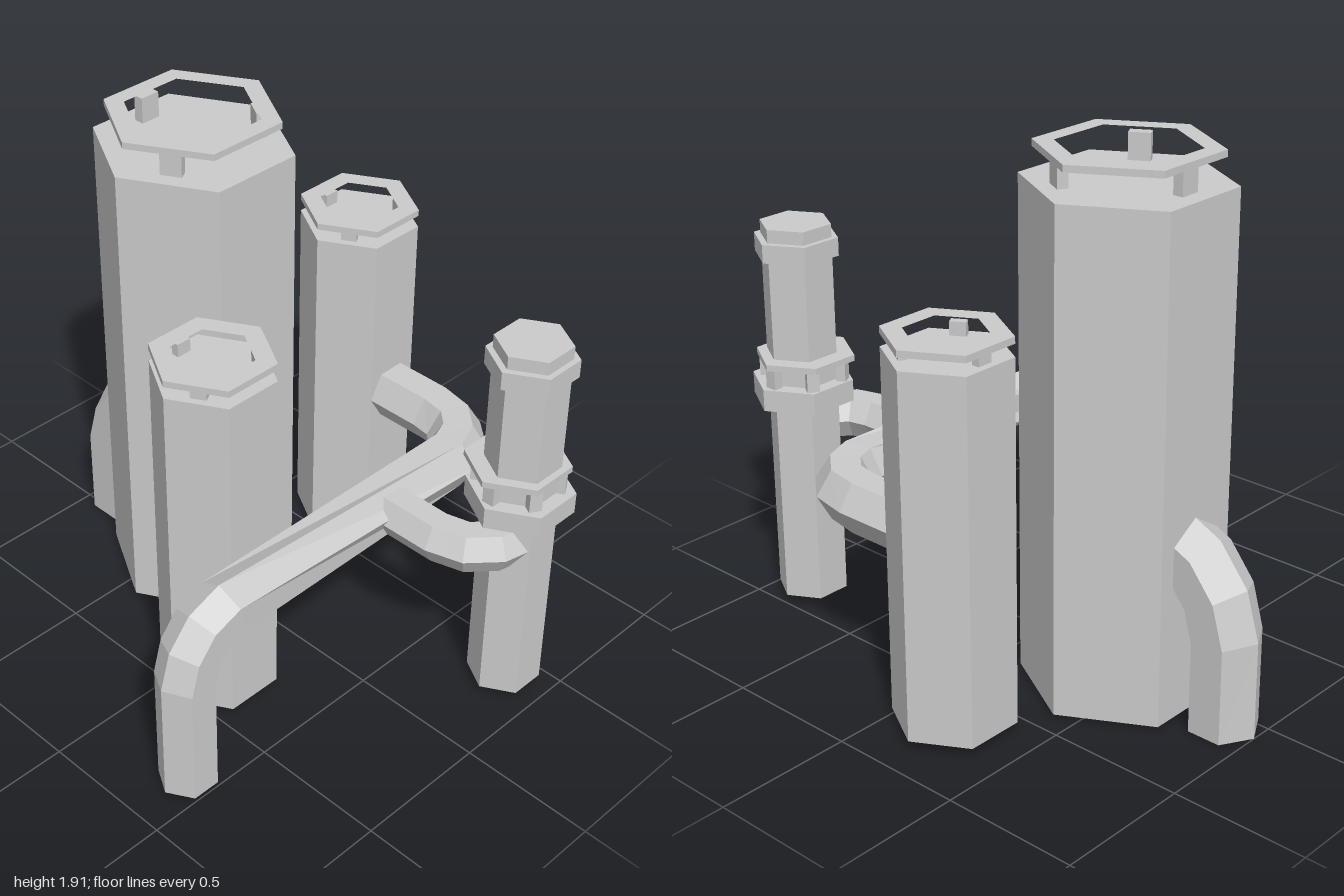
import * as THREE from 'three';

const grey = new THREE.MeshStandardMaterial({ color: 0xcccccc, flatShading: true });
const SIDES = 6;

function add(parent, name, geometry, x = 0, y = 0, z = 0) {
  const mesh = new THREE.Mesh(geometry, grey);
  mesh.name = name;
  mesh.position.set(x, y, z);
  parent.add(mesh);
  return mesh;
}

// Upright hexagonal prism from y0 to y1: hx is half the width in x, r the corner reach in z
function prism(parent, name, hx, r, x, z, y0, y1) {
  const geometry = new THREE.CylinderGeometry(1, 1, y1 - y0, SIDES);
  geometry.scale(hx / Math.cos(Math.PI / 6), 1, r);
  return add(parent, name, geometry, x, (y0 + y1) / 2, z);
}

function hexPoints(hx, r) {
  return Array.from({ length: SIDES }, (_, i) => {
    const a = (i / SIDES) * Math.PI * 2;
    return new THREE.Vector2((Math.sin(a) * hx) / Math.cos(Math.PI / 6), Math.cos(a) * r);
  });
}

// Flat hexagonal ring with a hexagonal hole
function ring(parent, name, outer, inner, x, z, y0, y1) {
  const shape = new THREE.Shape(hexPoints(...outer));
  shape.holes.push(new THREE.Path(hexPoints(...inner)));
  const geometry = new THREE.ExtrudeGeometry(shape, { depth: y1 - y0, bevelEnabled: false });
  geometry.rotateX(-Math.PI / 2);
  return add(parent, name, geometry, x, y0, z);
}

// Tank with a raised ring carried on three posts
function tank(parent, name, o) {
  const g = new THREE.Group();
  g.name = name;
  parent.add(g);
  prism(g, 'tankBody', o.hx, o.r, o.x, o.z, o.y0, o.y1);
  ring(g, 'topRing', o.outer, o.inner, o.x, o.z, o.ringY, o.ringY + 0.024);
  const h = o.ringY - o.y1 + 0.004;
  for (let i = 0; i < 3; i++) {
    const a = Math.PI / 6 + (i * Math.PI * 2) / 3;
    const post = add(g, 'ringPost', new THREE.BoxGeometry(o.post, h, o.post / 2),
      o.x + Math.sin(a) * o.postR, o.y1 + h / 2, o.z + Math.cos(a) * o.postR);
    post.rotation.y = a;
  }
}

// Hexagonal pipe swept along points; normal aims the first corner, twist turns it per point
function pipe(parent, name, points, radius, normal, twist = () => 0) {
  const pts = points.map((p) => new THREE.Vector3(...p));
  const n = new THREE.Vector3(...normal);
  const positions = [];
  const index = [];
  const last = pts.length - 1;
  pts.forEach((p, i) => {
    const t = new THREE.Vector3();
    if (i > 0) t.add(p.clone().sub(pts[i - 1]).normalize());
    if (i < last) t.add(pts[i + 1].clone().sub(p).normalize());
    t.normalize();
    n.addScaledVector(t, -n.dot(t)).normalize();
    const b = t.clone().cross(n);
    for (let s = 0; s < SIDES; s++) {
      const a = (s / SIDES) * Math.PI * 2 + twist(i);
      const v = p.clone().addScaledVector(n, Math.cos(a) * radius).addScaledVector(b, Math.sin(a) * radius);
      positions.push(v.x, v.y, v.z);
      if (i < last) {
        const k = i * SIDES;
        const s1 = (s + 1) % SIDES;
        index.push(k + s, k + s1, k + SIDES + s1, k + s, k + SIDES + s1, k + SIDES + s);
      }
    }
  });
  // End caps
  const e = last * SIDES;
  for (let s = 1; s < SIDES - 1; s++) index.push(0, s + 1, s, e, e + s, e + s + 1);
  const geometry = new THREE.BufferGeometry();
  geometry.setAttribute('position', new THREE.Float32BufferAttribute(positions, 3));
  geometry.setIndex(index);
  geometry.computeVertexNormals();
  return add(parent, name, geometry);
}

export function createModel() {
  const model = new THREE.Group();
  model.name = 'tankPlant';

  // Tanks
  tank(model, 'largeTank', {
    x: -0.42, z: -0.077, hx: 0.31, r: 0.347, y0: 0.01, y1: 1.8,
    outer: [0.268, 0.31], inner: [0.206, 0.238], ringY: 1.89, post: 0.075, postR: 0.228,
  });
  const small = {
    hx: 0.187, r: 0.215, y0: 0.037, y1: 1.34,
    outer: [0.187, 0.215], inner: [0.123, 0.142], ringY: 1.384, post: 0.055, postR: 0.148,
  };
  tank(model, 'frontTank', { ...small, x: 0.115, z: 0.35 });
  tank(model, 'backTank', { ...small, x: -0.205, z: -0.678 });

  // Chimney with collars and a flange on short posts
  const chimney = new THREE.Group();
  chimney.name = 'chimney';
  model.add(chimney);
  const cx = 0.835;
  const cz = -0.372;
  prism(chimney, 'chimneyShaft', 0.113, 0.13, cx, cz, 0.037, 1.46);
  prism(chimney, 'topCollar', 0.133, 0.155, cx, cz, 1.345, 1.412);
  prism(chimney, 'lowerCollar', 0.163, 0.186, cx, cz, 0.8, 0.88);
  prism(chimney, 'flange', 0.157, 0.183, cx - 0.02, cz, 0.957, 0.98);
  for (let i = 0; i < SIDES; i++) {
    const a = (i / SIDES) * Math.PI * 2;
    const post = add(chimney, 'flangePost', new THREE.BoxGeometry(0.045, 0.08, 0.035),
      cx - 0.01 + Math.sin(a) * 0.142, 0.919, cz + Math.cos(a) * 0.142);
    post.rotation.y = a;
  }

  // Pipe from the ground into the large tank
  pipe(model, 'sidePipe', [
    [-0.873, 0, -0.08], [-0.873, 0.34, -0.08], [-0.835, 0.475, -0.08],
    [-0.755, 0.575, -0.08], [-0.62, 0.635, -0.08],
  ], 0.127, [1, 0, 0]);

  // Long pipe from the ground, over and round into the back tank
  pipe(model, 'mainPipe', [
    [0.422, 0.037, 0.785], [0.422, 0.49, 0.785], [0.422, 0.59, 0.757],
    [0.422, 0.658, 0.7], [0.422, 0.69, 0.61], [0.42, 0.685, -0.5],
    [0.385, 0.685, -0.59], [0.31, 0.685, -0.655], [0.2, 0.685, -0.675], [-0.1, 0.685, -0.675],
  ], 0.105, [0, 0, 1], (i) => (i > 4 ? Math.PI / 6 : 0));

  // Branch from the long pipe to the chimney
  pipe(model, 'branchPipe', [
    [0.455, 0.688, -0.15], [0.68, 0.688, -0.15], [0.78, 0.688, -0.178],
    [0.845, 0.688, -0.25], [0.862, 0.688, -0.34],
  ], 0.086, [0, 0, 1]);

  return model;
}
